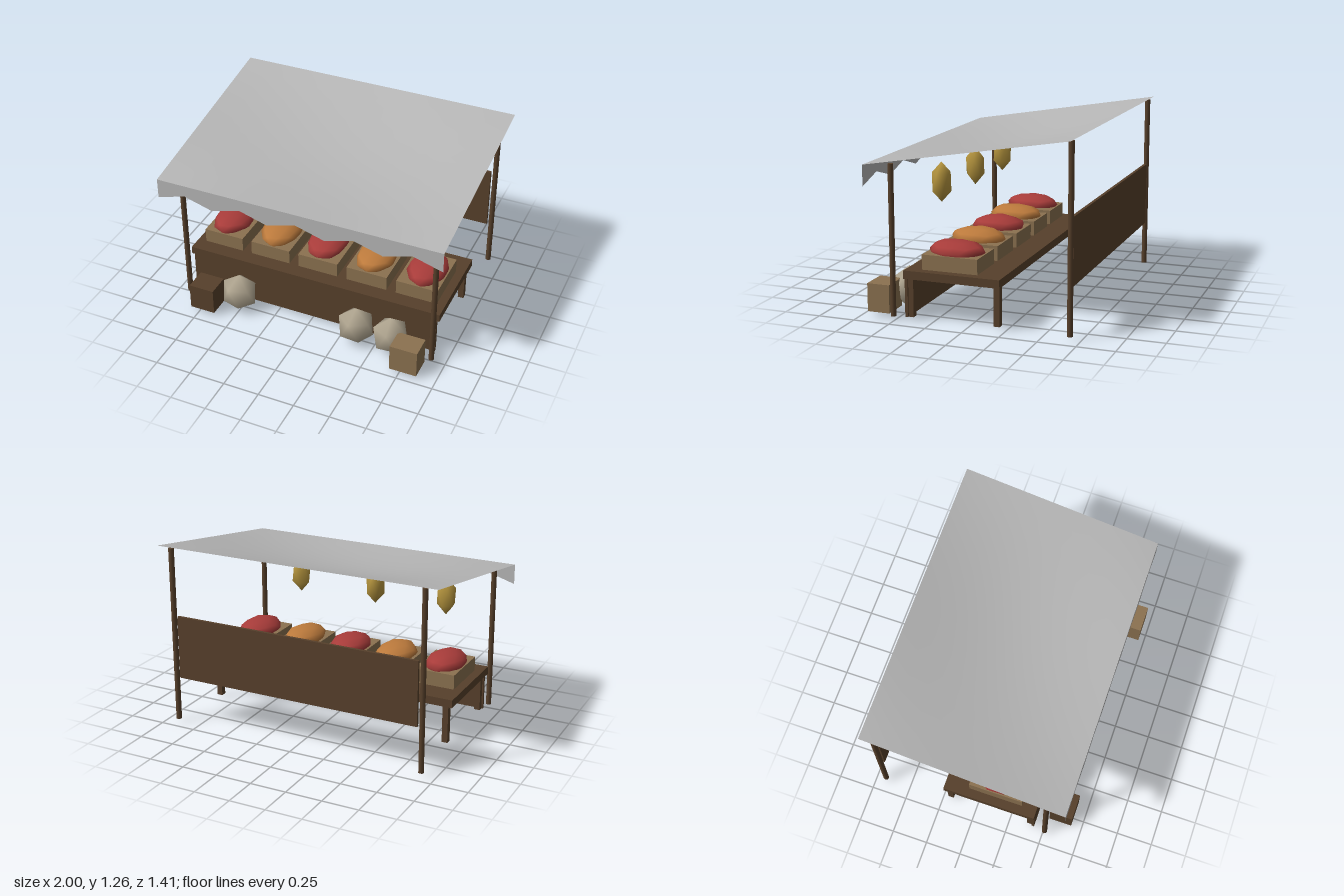
import * as THREE from 'three';
import { mergeVertices } from 'three/addons/utils/BufferGeometryUtils.js';

const mat = (name, color, side = THREE.FrontSide) => {
  const m = new THREE.MeshStandardMaterial({ color, side });
  m.name = name;
  return m;
};

// Smooth-shaded icosahedron standing on one of its corners
function blob(rx, ry, rz, detail = 0, wobble = 0, seed = 0) {
  let g = new THREE.IcosahedronGeometry(1, detail);
  g.rotateZ(Math.atan(2 / (1 + Math.sqrt(5))));
  g.deleteAttribute('normal');
  g.deleteAttribute('uv');
  g = mergeVertices(g, 1e-3);
  const p = g.attributes.position;
  for (let i = 0; i < p.count; i++) {
    const s = 1 + wobble * Math.sin(i * 2.7 + seed * 1.9);
    p.setXYZ(i, p.getX(i) * rx * s, p.getY(i) * ry * s, p.getZ(i) * rz * s);
  }
  g.computeVertexNormals();
  return g;
}

export function createModel() {
  const root = new THREE.Group();
  root.name = 'marketStall';
  const wood = mat('darkWood', 0x57402b);
  const crateWood = mat('lightWood', 0x8b7150);
  const cloth = mat('greyCloth', 0xb6b6b6, THREE.DoubleSide);
  const red = mat('redFruit', 0xa83c3a);
  const orange = mat('orangeFruit', 0xbc7a3c);
  const yellow = mat('yellowFruit', 0xb8973f);
  const sackcloth = mat('sackcloth', 0xb5aa94);

  const add = (name, geo, material, x = 0, y = 0, z = 0) => {
    const m = new THREE.Mesh(geo, material);
    m.name = name;
    m.position.set(x, y, z);
    root.add(m);
    return m;
  };
  // Box given by its extents
  const box = (name, material, x0, x1, y0, y1, z0, z1) =>
    add(name, new THREE.BoxGeometry(x1 - x0, y1 - y0, z1 - z0), material,
      (x0 + x1) / 2, (y0 + y1) / 2, (z0 + z1) / 2);

  // Sagging awning: straight edges, drooping middle
  const awning = new THREE.PlaneGeometry(2, 2, 12, 10);
  const p = awning.attributes.position;
  for (let i = 0; i < p.count; i++) {
    const x = p.getX(i);
    const v = (p.getY(i) + 1) / 2;
    const sag = 0.085 * Math.cos(x * Math.PI / 2) * Math.sin(v * Math.PI);
    p.setXYZ(i, x, 1.03 + 0.23 * v - sag, 0.66 - 1.365 * v);
  }
  awning.computeVertexNormals();
  add('awning', awning, cloth);

  // Zigzag valance along the front edge
  const zigzag = new THREE.Shape();
  zigzag.moveTo(-1, 1.03);
  for (let i = 0; i <= 10; i++) zigzag.lineTo(-1 + i * 0.2, i % 2 ? 0.95 : 0.89);
  zigzag.lineTo(1, 1.03);
  add('valance', new THREE.ShapeGeometry(zigzag), cloth, 0, 0, 0.66);

  // Posts and table legs on both sides
  for (const s of [-1, 1]) {
    for (const [name, z, top] of [['frontPost', 0.51, 1.03], ['backPost', -0.682, 1.25]]) {
      add(name, new THREE.CylinderGeometry(0.019, 0.019, top - 0.03, 8), wood,
        s * 0.906, (top + 0.03) / 2, z);
    }
    for (const z of [0.395, -0.195]) {
      add('tableLeg', new THREE.BoxGeometry(0.04, 0.26, 0.04), wood, s * 0.87, 0.16, z);
    }
  }

  // Table and boards
  box('tableTop', wood, -0.92, 0.92, 0.29, 0.345, -0.225, 0.43);
  box('tableFront', wood, -0.9, 0.9, 0.03, 0.29, 0.41, 0.43);
  box('backPanel', wood, -0.875, 0.875, 0.34, 0.78, -0.692, -0.672);

  // Produce crates with heaped fruit
  for (let i = 0; i < 5; i++) {
    const x = (i - 2) * 0.358;
    box('produceCrate', crateWood, x - 0.145, x + 0.145, 0.345, 0.445, -0.055, 0.325);
    add('fruitHeap', blob(0.134, 0.07, 0.188, 1, 0.04, i), i % 2 ? orange : red,
      x + [-0.01, 0, -0.008, 0, 0.01][i], 0.458, 0.135);
  }

  // Hanging fruit bunches
  [-0.63, -0.095, 0.495].forEach((x, i) => {
    const bunch = add('hangingFruit', blob(0.073, 0.135, 0.073), yellow, x, 0.845, 0.34);
    bunch.rotation.y = [0.2, 0.9, 0.5][i];
  });

  // Sacks leaning by the table front
  [-0.505, 0.37, 0.62].forEach((x, i) => {
    const sack = add('sack', blob(0.13, 0.145, 0.115), sackcloth, x, 0.148, 0.525);
    sack.rotation.y = i * 0.2;
  });

  // Ground crates
  box('darkCrate', wood, -0.81, -0.63, 0.03, 0.215, 0.515, 0.675);
  box('lightCrate', crateWood, 0.685, 0.875, 0.03, 0.22, 0.555, 0.71);
  return root;
}
